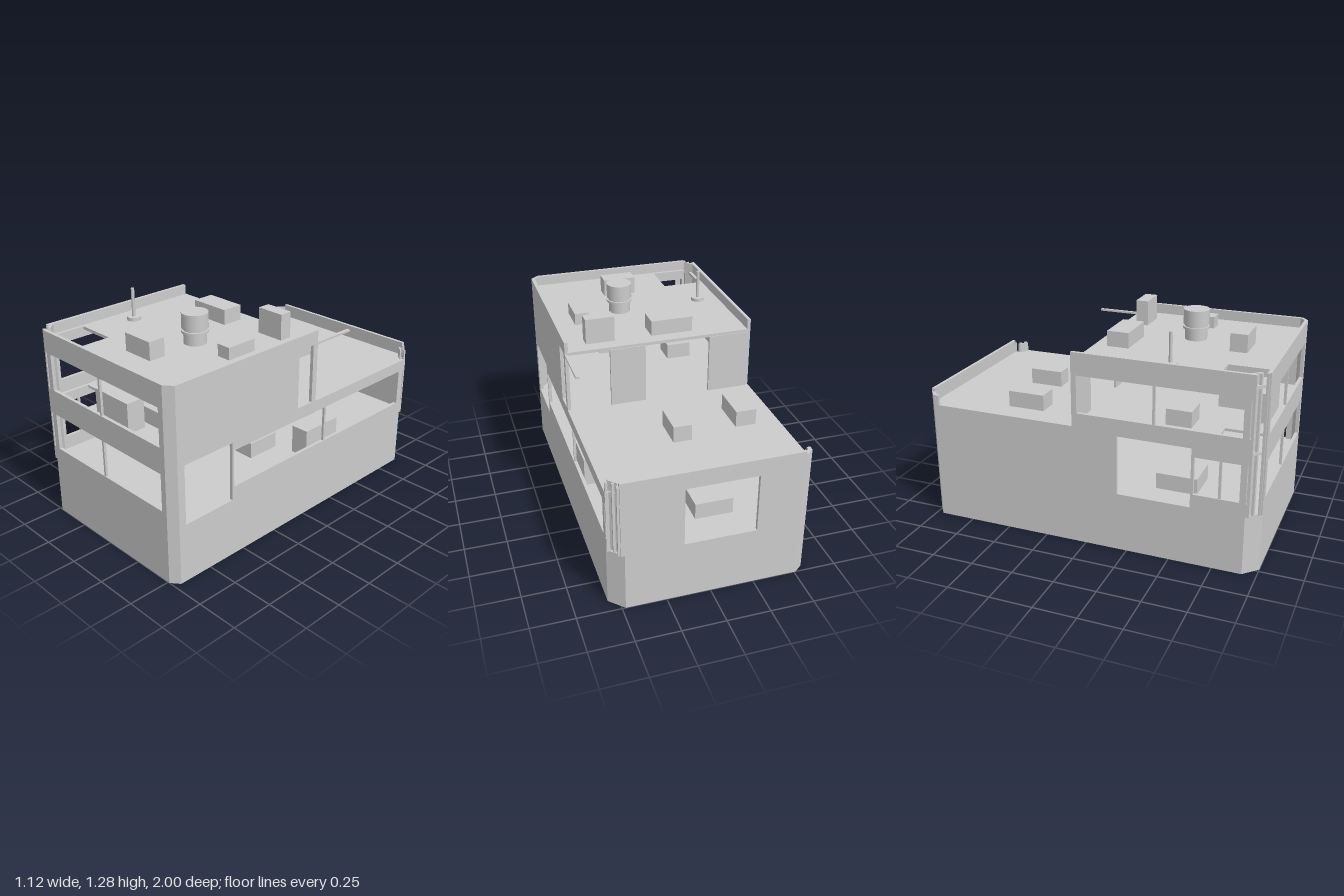
import * as THREE from 'three';

export function createModel() {
  const g = new THREE.Group();
  const grey = new THREE.MeshStandardMaterial({ color: 0xcccccc });
  grey.name = 'lightGrey';
  const W = 0.56, T = 0.02;

  function add(name, geo, parent = g) {
    const m = new THREE.Mesh(geo, grey);
    m.name = name;
    parent.add(m);
    return m;
  }
  // Box given by its minimum and maximum corners
  function box(name, x0, x1, y0, y1, z0, z1) {
    const geo = new THREE.BoxGeometry(x1 - x0, y1 - y0, z1 - z0);
    geo.translate((x0 + x1) / 2, (y0 + y1) / 2, (z0 + z1) / 2);
    return add(name, geo);
  }
  // Extruded outline with rectangular holes [a0, a1, b0, b1]
  function plate(points, holes, depth) {
    const s = new THREE.Shape(points.map(p => new THREE.Vector2(...p)));
    for (const [a0, a1, b0, b1] of holes) {
      s.holes.push(new THREE.Path([[a0, b0], [a0, b1], [a1, b1], [a1, b0]].map(p => new THREE.Vector2(...p))));
    }
    return new THREE.ExtrudeGeometry(s, { depth, bevelEnabled: false });
  }
  const sideWall = (name, pts, holes, x) =>
    add(name, plate(pts, holes, T).rotateY(-Math.PI / 2).translate(x, 0, 0));
  const endWall = (name, pts, holes, z) =>
    add(name, plate(pts, holes, T).translate(0, 0, z));
  const slab = (name, pts, holes, top, t) =>
    add(name, plate(pts, holes, t).rotateX(Math.PI / 2).translate(0, top, 0));

  // Front wall: two window bands plus narrow corner slots
  endWall('frontWall', [[-0.48, 0], [0.51, 0], [0.51, 1.15], [-0.5, 1.15], [-0.5, 0.35], [-0.48, 0.35]], [
    [-0.445, 0.475, 0.43, 0.65], [-0.445, 0.475, 0.80, 1.02],
    [-0.49, -0.48, 0.43, 0.65], [-0.49, -0.48, 0.80, 1.02],
  ], 1 - T);
  box('frontMullionLower', -0.017, -0.003, 0.43, 0.65, 0.982, 0.997);
  box('frontMullionUpper', -0.017, -0.003, 0.80, 1.02, 0.982, 0.997);

  // Back wall with one wide opening
  endWall('backWall', [[-0.51, 0], [0.48, 0], [0.48, 0.35], [0.5, 0.35], [0.5, 0.8], [-0.51, 0.8]],
    [[-0.255, 0.155, 0.35, 0.70]], -1);

  // Left (+x) wall: doorway, long window band and upper door
  sideWall('leftWall',
    [[-0.92, 0], [0.96, 0], [0.96, 1.15], [-0.075, 1.15], [-0.075, 0.72], [-0.94, 0.72], [-0.94, 0.35], [-0.92, 0.35]],
    [[0.583, 0.915, 0.35, 0.70], [-0.88, 0.57, 0.43, 0.65], [-0.93, -0.92, 0.43, 0.65],
      [-0.04, 0.075, 0.72 + 0.003, 1.07]], W);
  box('leftMullion', W - 0.017, W - 0.003, 0.43, 0.65, -0.177, -0.163);
  box('slidingRail', 0.54, W, 1.065, 1.077, -0.355, -0.07);

  // Right (-x) wall: doorway and window bands
  sideWall('rightWall',
    [[-0.95, 0], [0.92, 0], [0.92, 0.35], [0.94, 0.35], [0.94, 1.15], [-0.075, 1.15], [-0.075, 0.72], [-0.95, 0.72]],
    [[0.19, 0.615, 0.35, 0.70], [0.63, 0.885, 0.43, 0.65], [-0.045, 0.885, 0.80, 1.02],
      [0.92, 0.93, 0.43, 0.65], [0.92, 0.93, 0.80, 1.02]], -W + T);
  box('rightMullionLower', -W + 0.003, -W + 0.017, 0.43, 0.65, 0.768, 0.782);
  box('rightMullionUpper', -W + 0.003, -W + 0.017, 0.80, 1.02, 0.393, 0.407);

  // Closed chamfered corners
  const corner = [[0.51, 1], [0.56, 0.96], [0.56, 0.93], [0.54, 0.93], [0.54, 0.95], [0.505, 0.98], [0.49, 0.98], [0.49, 1]];
  const flip = pts => pts.map(([x, z]) => [-x, -z]);
  slab('frontLeftCorner', corner, [], 1.15, 1.15);
  slab('backRightCorner', flip(corner), [], 0.78, 0.78);

  // Open corners: solid foot, recessed panel and slim posts above
  const foot = [[-0.56, 0.92], [-0.48, 1], [-0.48, 0.98], [-0.54, 0.92]];
  const recess = [[-0.54, 0.92], [-0.5, 0.96], [-0.5, 0.945], [-0.54, 0.905]];
  const posts = [[-0.551, 0.931], [-0.522, 0.952], [-0.506, 0.985]];
  for (const [name, s, top] of [['frontRight', 1, 1.15], ['backLeft', -1, 0.78]]) {
    slab(name + 'CornerFoot', s > 0 ? foot : flip(foot), [], 0.35, 0.35);
    slab(name + 'CornerPanel', s > 0 ? recess : flip(recess), [], top, top - 0.35);
    for (const [x, z] of posts) {
      box(name + 'CornerPost', s * x - 0.007, s * x + 0.007, 0.35, top, s * z - 0.007, s * z + 0.007);
    }
  }

  // Floors and roof
  const rearEdge = [[-0.51, -0.99], [0.48, -0.99], [0.55, -0.92]];
  const frontEdge = [[0.55, 0.95], [0.5, 0.99], [-0.5, 0.99], [-0.55, 0.94]];
  const full = [...rearEdge, ...frontEdge, [-0.55, -0.95]];
  const stair = [-0.52, -0.28, 0.72, 0.96];
  const lower = [[-0.51, -0.99], [0.48, -0.99], [0.55, -0.92], [0.55, 0.95], [0.5, 0.99],
    [-0.48, 0.99], [-0.55, 0.92], [-0.55, -0.95]];
  slab('base', lower, [], 0.0015, 0.0015);
  slab('groundFloor', lower, [], 0.35, 0.015);
  slab('middleFloor', full, [stair], 0.72, 0.015);
  slab('roof', [[-0.55, -0.08], [0.55, -0.08], ...frontEdge], [stair], 1.09, 0.018);

  // Partial rear screens of the upper storey
  box('rearScreenWide', -0.54, -0.30, 0.72, 1.075, -0.085, -0.07);
  box('rearScreenNarrow', 0.09, 0.30, 0.72, 1.075, -0.085, -0.07);

  // Crates: x range, z range, floor height, top height
  const crates = [
    [-0.22, 0.03, 0, 0.13, 1.09, 1.18], [0.25, 0.42, 0, 0.075, 1.09, 1.24],
    [0.335, 0.42, 0.28, 0.47, 1.09, 1.16], [-0.06, 0.14, 0.67, 0.77, 1.09, 1.195],
    [-0.42, -0.30, -0.535, -0.315, 0.72, 0.815], [-0.02, 0.085, -0.59, -0.39, 0.72, 0.815],
    [-0.14, 0.135, 0.82, 0.93, 0.72, 0.895], [0.02, 0.2, 0.6, 0.78, 0.72, 0.815],
    [-0.35, -0.2, 0.4, 0.55, 0.72, 0.815],
    [0.42, 0.53, -0.315, -0.045, 0.35, 0.52], [0.18, 0.31, -0.02, 0.19, 0.35, 0.445],
    [-0.41, -0.19, 0.37, 0.61, 0.35, 0.445], [0, 0.18, -0.53, -0.4, 0.35, 0.445],
    [-0.19, 0.03, -0.81, -0.61, 0.35, 0.445],
  ];
  for (const [x0, x1, z0, z1, y0, y1] of crates) box('crate', x0, x1, y0, y1, z0, z1);

  // Round roof tank with a narrow neck and collar
  const tank = new THREE.Group();
  tank.name = 'roofTank';
  tank.position.set(0.108, 0, 0.425);
  g.add(tank);
  for (const [name, r, y0, y1] of [['tankBase', 0.065, 1.09, 1.155], ['tankCollar', 0.077, 1.155, 1.168],
    ['tankNeck', 0.066, 1.168, 1.18], ['tankDrum', 0.075, 1.18, 1.268]]) {
    add(name, new THREE.CylinderGeometry(r, r, y1 - y0, 32).translate(0, (y0 + y1) / 2, 0), tank);
  }

  // Roof mast
  const mast = new THREE.Group();
  mast.name = 'mast';
  mast.position.set(-0.41, 0, 0.44);
  g.add(mast);
  add('mastFoot', new THREE.CylinderGeometry(0.04, 0.04, 0.02, 24).translate(0, 1.1, 0), mast);
  add('mastPole', new THREE.CylinderGeometry(0.01, 0.01, 0.18, 12).translate(0, 1.19, 0), mast);

  return g;
}
